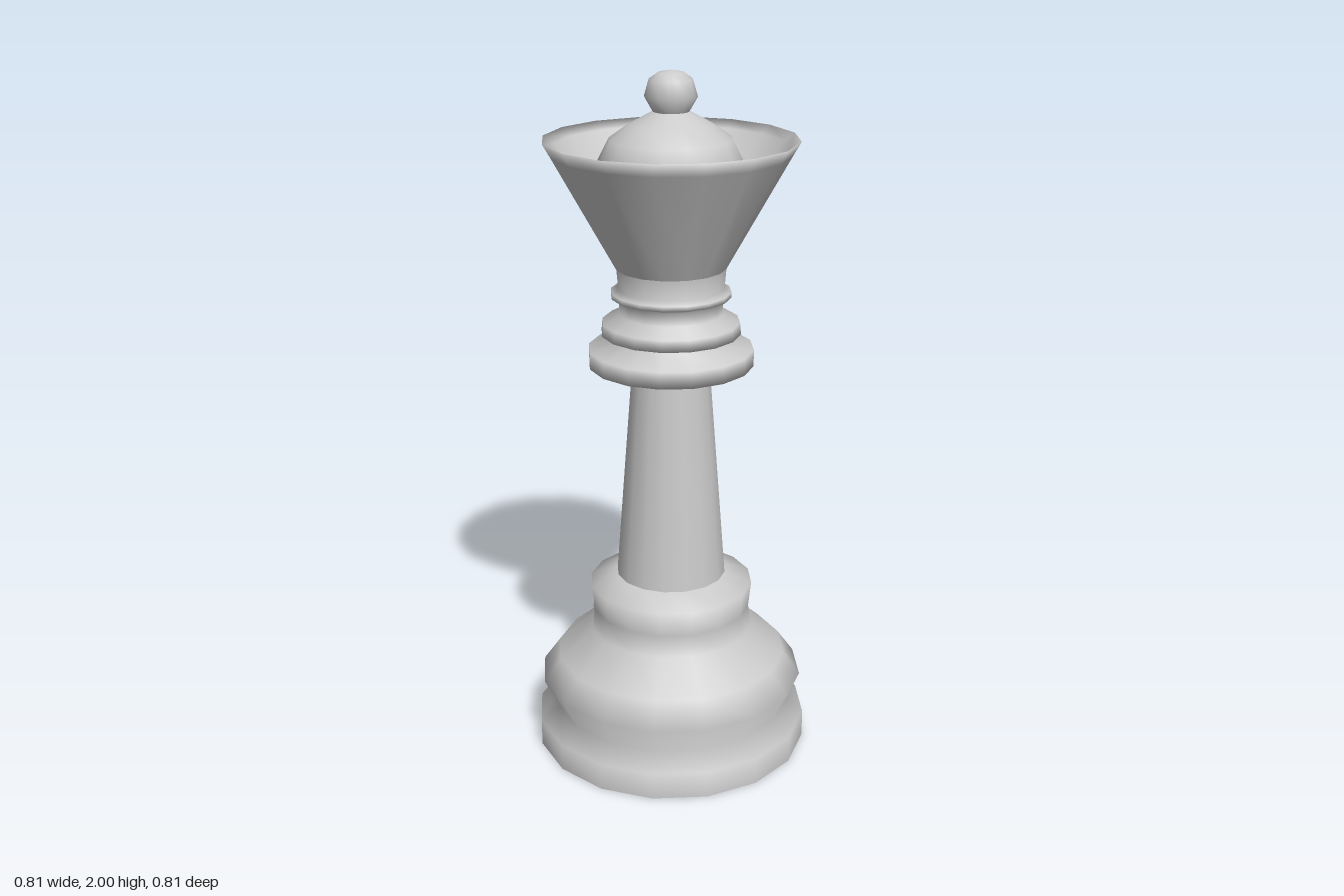
import * as THREE from 'three';

const SIDES = 16;
const material = new THREE.MeshStandardMaterial({ color: 0xcccccc, side: THREE.DoubleSide });

// Turns a list of [radius, height] points into a named lathe mesh.
function turned(name, profile) {
  const points = profile.map(([r, y]) => new THREE.Vector2(r, y));
  const mesh = new THREE.Mesh(new THREE.LatheGeometry(points, SIDES), material);
  mesh.name = name;
  return mesh;
}

export function createModel() {
  const group = new THREE.Group();
  group.name = 'chessQueen';

  // Flat underside
  group.add(turned('underside', [[0, 0], [0.403, 0]]));

  // Foot, bulging body and shoulder
  group.add(turned('base', [
    [0.403, 0], [0.403, 0.08], [0.345, 0.12], [0.39, 0.21], [0.34, 0.28],
    [0.24, 0.365], [0.232, 0.43], [0.24, 0.505], [0.16, 0.535],
  ]));

  // Tapering shaft
  group.add(turned('shaft', [[0.16, 0.535], [0.112, 1.16]]));

  // Stacked collar rings
  group.add(turned('collar', [
    [0.112, 1.16], [0.235, 1.18], [0.235, 1.228], [0.14, 1.255], [0.198, 1.272],
    [0.195, 1.305], [0.147, 1.33], [0.147, 1.37], [0.17, 1.378], [0.17, 1.393],
    [0.15, 1.402], [0.155, 1.46],
  ]));

  // Flared cup: outer wall, rim and hollow inside
  group.add(turned('crown', [
    [0.155, 1.46], [0.331, 1.778], [0.353, 1.816], [0.322, 1.795], [0.19, 1.62], [0, 1.62],
  ]));

  // Domed cap sitting in the cup
  group.add(turned('dome', [
    [0.19, 1.62], [0.204, 1.75], [0.17, 1.816], [0.115, 1.855], [0.05, 1.89],
  ]));

  // Knob on top
  group.add(turned('finial', [
    [0.05, 1.89], [0.073, 1.93], [0.06, 1.975], [0.035, 1.993], [0, 2],
  ]));

  return group;
}
